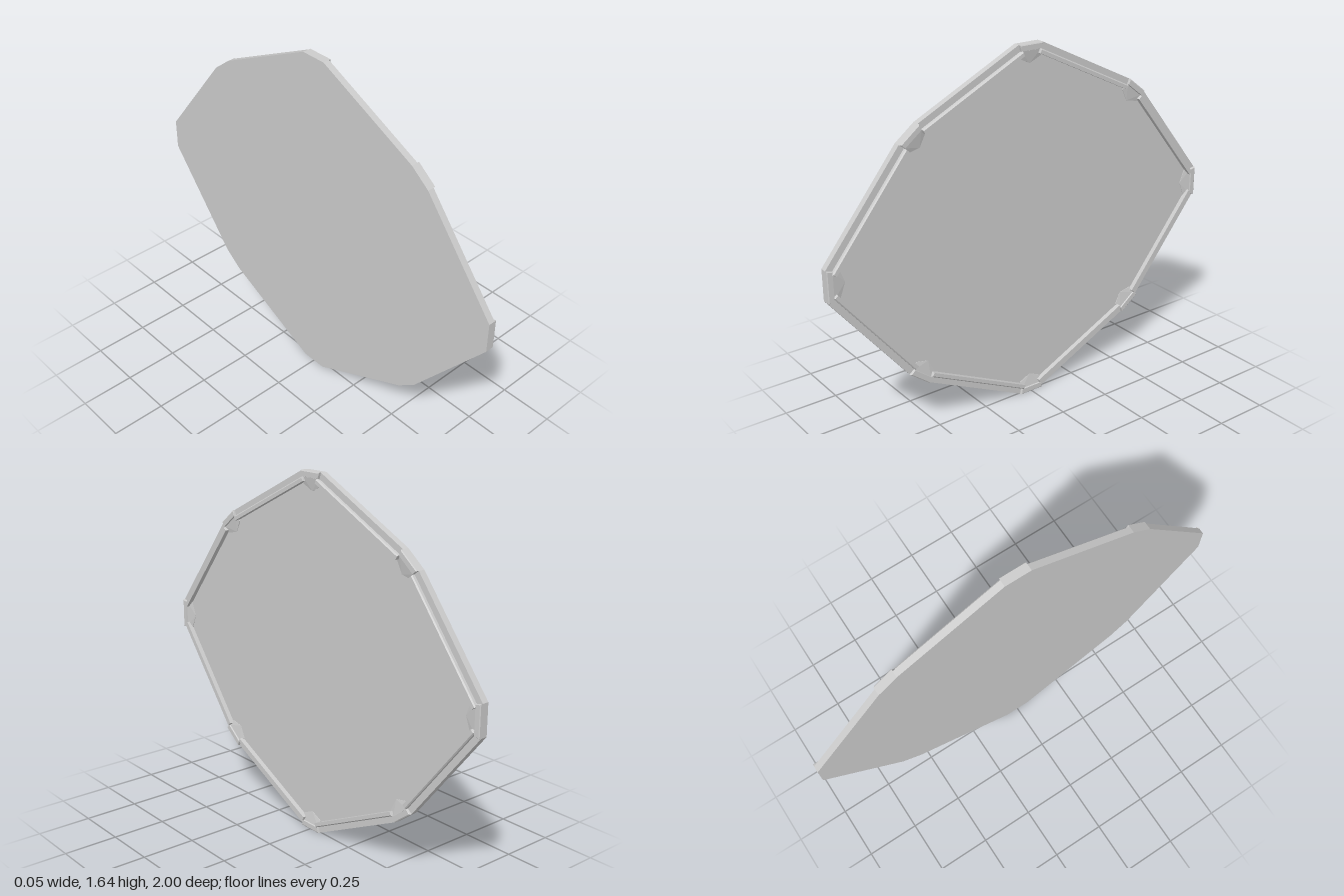
import * as THREE from 'three';
import { ConvexGeometry } from 'three/addons/geometries/ConvexGeometry.js';

const MID = 0.8225; // height of the panel centre
const material = new THREE.MeshStandardMaterial({ color: 0xcccccc, flatShading: true });
const v2 = (z, y) => new THREE.Vector2(z, y);

// Mirrors one quarter (top to side) into a full clockwise loop.
function mirrorQuarter(q) {
  const flip = (sz, sy) => q.map(([z, y]) => v2(z * sz, y * sy));
  return [...flip(1, 1), ...flip(1, -1).reverse(), ...flip(-1, -1), ...flip(-1, 1).reverse()];
}

// Outline: long edges between short corner facets, as (z, y) about the centre.
const outline = mirrorQuarter([[0.06, 0.8225], [0.555, 0.5825], [0.645, 0.5125], [1, 0.07]]);

// Pocket in the back, an octagon with sharp corners.
const pocket = [[0, 0.71], [0.537, 0.45], [0.926, 0], [0.537, -0.45],
  [0, -0.71], [-0.537, -0.45], [-0.926, 0], [-0.537, 0.45]].map(p => v2(...p));

// Flat plate lying in the z-y plane between two x positions.
function plate(points, x0, x1, hole) {
  const shape = new THREE.Shape(points);
  if (hole) shape.holes.push(new THREE.Path(hole));
  const geo = new THREE.ExtrudeGeometry(shape, { depth: x1 - x0, bevelEnabled: false });
  return geo.rotateY(Math.PI / 2).translate(x0, MID, 0);
}

export function createModel() {
  const group = new THREE.Group();
  const add = (name, geo) => {
    const mesh = new THREE.Mesh(geo, material);
    mesh.name = name;
    group.add(mesh);
  };
  const at = (p, x) => new THREE.Vector3(x, p.y + MID, p.x);

  // Ends and inward direction of outline edge i
  const edge = i => {
    const a = outline[i], b = outline[(i + 1) % outline.length];
    const along = b.clone().sub(a).normalize();
    const inward = v2(along.y, -along.x);
    if (inward.dot(a) > 0) inward.negate();
    const point = (end, trim, d) => (end ? b : a).clone()
      .addScaledVector(along, end ? -trim : trim).addScaledVector(inward, d);
    return { a, b, inward, point };
  };

  const inner = [];
  for (let i = 0; i < outline.length; i++) {
    const { point } = edge(i);
    if (i % 2 === 0) inner.push(point(0, 0, 0.05), point(1, 0, 0.05));
  }

  add('backFrame', plate(outline, -0.025, -0.01, pocket));
  add('panel', plate(outline, -0.01, 0));
  add('frontFlange', plate(outline, 0, 0.005, inner));

  for (let i = 0; i < outline.length; i++) {
    const { a, b, inward, point } = edge(i);
    if (i % 2 === 0) {
      // Raised rim along each long edge, slightly bevelled
      const pts = [];
      for (const end of [0, 1]) {
        pts.push(at(point(end, 0, 0.029), 0), at(point(end, 0, 0.029), 0.017),
          at(point(end, 0.002, 0.034), 0.022), at(point(end, 0.002, 0.05), 0.022),
          at(point(end, 0, 0.05), -0.001));
      }
      add('rim', new ConvexGeometry(pts));
    } else {
      // Corner block on each short facet
      const pts = [];
      for (const end of [0, 1]) {
        pts.push(at(point(end, 0, 0), 0.002), at(point(end, 0, 0), 0.014),
          at(point(end, 0.004, 0.004), 0.017), at(point(end, 0.008, 0.026), 0.017),
          at(point(end, 0.008, 0.03), 0.002));
      }
      add('cornerBlock', new ConvexGeometry(pts));

      // Tapered foot running from the block down onto the panel
      const tip = a.clone().add(b).multiplyScalar(0.5).addScaledVector(inward, 0.085);
      const foot = [at(tip, -0.001), at(tip, 0.001)];
      for (const end of [0, 1]) {
        foot.push(at(point(end, 0.008, 0.028), -0.001), at(point(end, 0.008, 0.028), 0.011),
          at(point(end, 0.002, 0.058), -0.001), at(point(end, 0.002, 0.058), 0.003));
      }
      add('cornerFoot', new ConvexGeometry(foot));
    }
  }
  return group;
}
